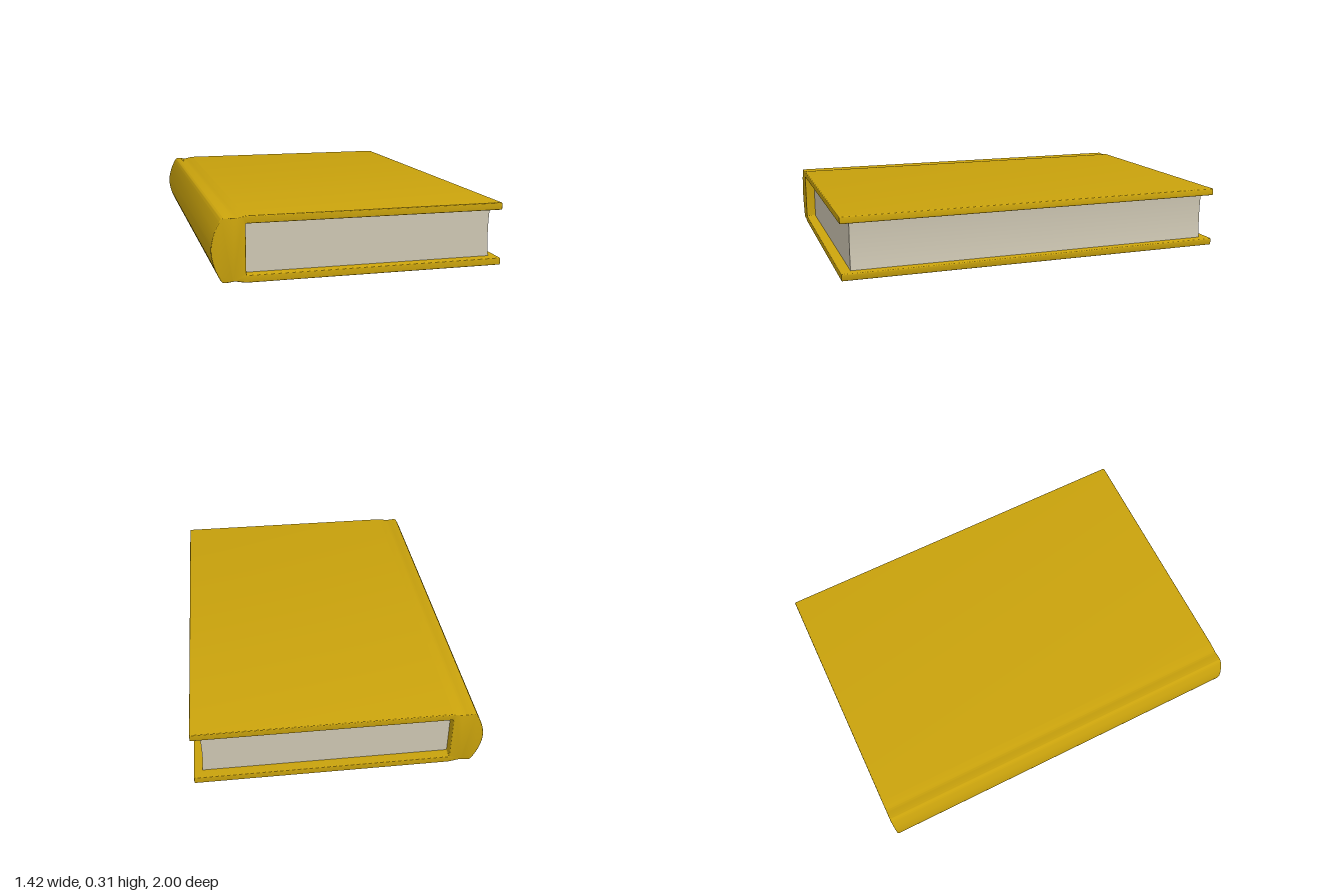
import * as THREE from 'three';
import { toCreasedNormals } from 'three/addons/utils/BufferGeometryUtils.js';

const H = 0.31, BOARD = 0.036, MID = H / 2;

// Extrude a profile along z, centred, with small rounded ends
function extrudeZ(shape, length, bevel) {
  const geometry = new THREE.ExtrudeGeometry(shape, {
    depth: length - 2 * bevel, curveSegments: 10,
    bevelEnabled: bevel > 0, bevelThickness: bevel, bevelSize: bevel,
    bevelOffset: -bevel, bevelSegments: 3,
  });
  geometry.translate(0, 0, -length / 2 + bevel);
  return toCreasedNormals(geometry, 0.6);
}

function addPart(group, name, geometry, color) {
  const mesh = new THREE.Mesh(geometry, new THREE.MeshStandardMaterial({ color }));
  mesh.name = name;
  group.add(mesh);
}

// Outline of the case: two boards, hinge grooves and a rounded spine
function coverShape() {
  const r = 0.007, x = 0.708, inner = -0.55;
  const s = new THREE.Shape();
  s.moveTo(-0.55, 0);
  s.lineTo(x - r, 0);
  s.quadraticCurveTo(x, 0, x, r);
  s.lineTo(x, BOARD - r);
  s.quadraticCurveTo(x, BOARD, x - r, BOARD);
  s.lineTo(inner + r, BOARD);
  s.quadraticCurveTo(inner, BOARD, inner, BOARD + r);
  s.lineTo(inner, H - BOARD - r);
  s.quadraticCurveTo(inner, H - BOARD, inner + r, H - BOARD);
  s.lineTo(x - r, H - BOARD);
  s.quadraticCurveTo(x, H - BOARD, x, H - BOARD + r);
  s.lineTo(x, H - r);
  s.quadraticCurveTo(x, H, x - r, H);
  s.lineTo(-0.55, H);
  // hinge groove and spine, upper half then mirrored lower half
  const half = [[-0.575, 0.306], [-0.602, 0.301], [-0.63, 0.304], [-0.655, 0.304],
    [-0.67, 0.288], [-0.693, 0.238], [-0.706, 0.19]];
  const points = [...half, [-0.709, MID], ...half.map(([px, py]) => [px, H - py]).reverse(), [-0.55, 0]];
  s.splineThru(points.map(([px, py]) => new THREE.Vector2(px, py)));
  return s;
}

// Outline of the page block with a slightly hollow fore edge
function pageShape() {
  const y0 = BOARD - 0.004, y1 = H - y0;
  const s = new THREE.Shape();
  s.moveTo(-0.56, y0);
  s.lineTo(0.666, y0);
  s.quadraticCurveTo(0.654, MID, 0.666, y1);
  s.lineTo(-0.56, y1);
  s.closePath();
  return s;
}

export function createModel() {
  const book = new THREE.Group();
  book.name = 'book';
  addPart(book, 'cover', extrudeZ(coverShape(), 2, 0.004), 0xc9a20c);
  addPart(book, 'pages', extrudeZ(pageShape(), 1.9, 0), 0xcfc8b4);
  return book;
}
